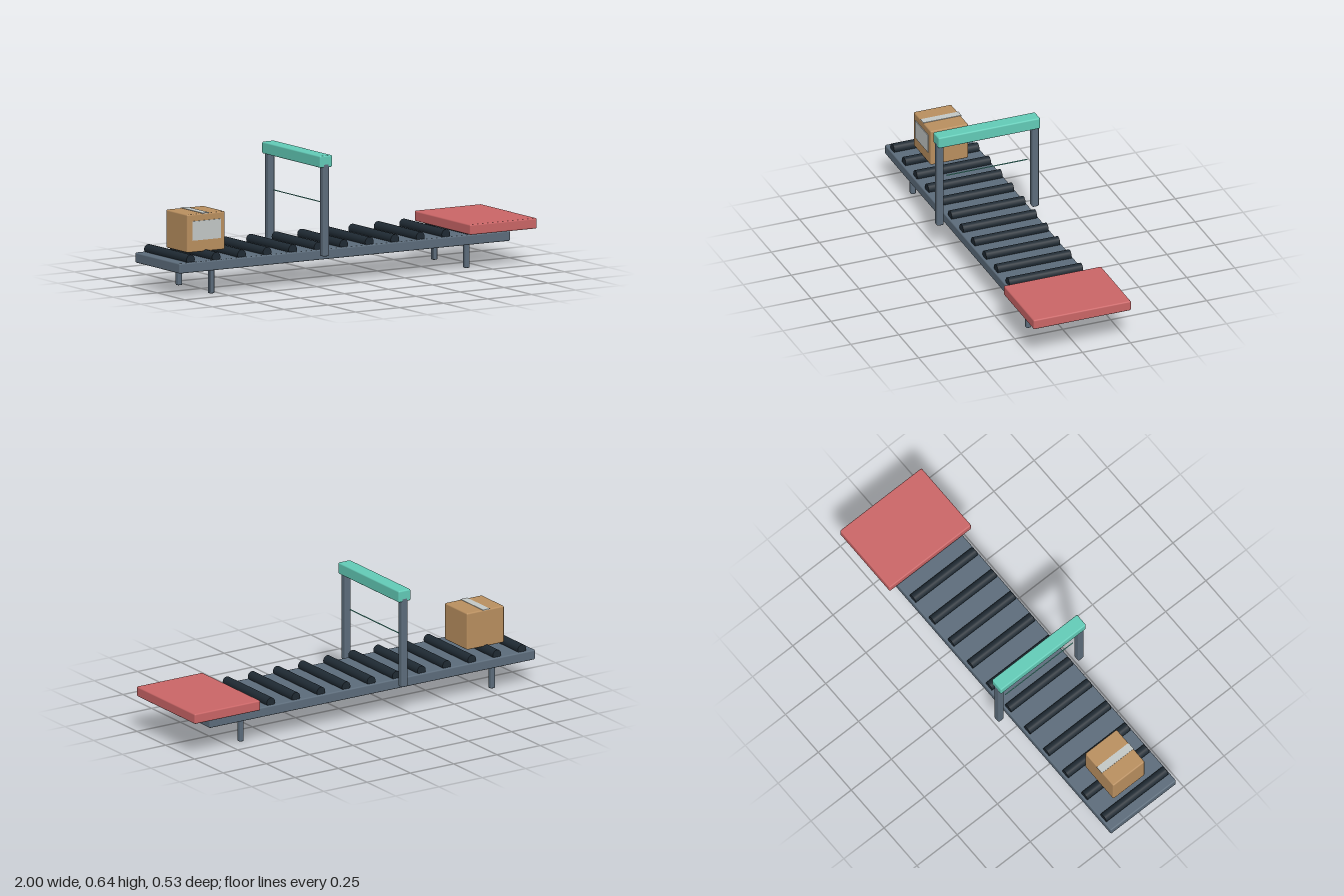
import * as THREE from 'three';
import { RoundedBoxGeometry } from 'three/addons/geometries/RoundedBoxGeometry.js';

const mat = (name, color) => {
  const m = new THREE.MeshStandardMaterial({ color });
  m.name = name;
  return m;
};

export function createModel() {
  const slate = mat('slate metal', 0x5c6c7b);
  const rubber = mat('dark rubber', 0x1f2a33);
  const teal = mat('teal', 0x62cbb7);
  const red = mat('red', 0xca6566);
  const card = mat('cardboard', 0xb98f5f);
  const paper = mat('pale paper', 0xc3c8c6);

  const model = new THREE.Group();
  model.name = 'conveyor';

  const add = (name, geometry, material, x, y, z) => {
    const mesh = new THREE.Mesh(geometry, material);
    mesh.name = name;
    mesh.position.set(x, y, z);
    model.add(mesh);
    return mesh;
  };
  // Box given by its limits on each axis, with rounded edges when r > 0
  const block = (name, material, [x0, x1], [y0, y1], [z0, z1], r = 0) => {
    const size = [x1 - x0, y1 - y0, z1 - z0];
    const geometry = r ? new RoundedBoxGeometry(...size, 2, r) : new THREE.BoxGeometry(...size);
    return add(name, geometry, material, (x0 + x1) / 2, (y0 + y1) / 2, (z0 + z1) / 2);
  };

  // Conveyor bed
  block('bed', slate, [-1, 0.88], [0.122, 0.172], [-0.203, 0.203], 0.007);

  // Rollers across the bed
  const rollerGeometry = new THREE.CylinderGeometry(0.024, 0.024, 0.384, 16).rotateX(Math.PI / 2);
  for (let i = 0; i < 13; i++) add('roller', rollerGeometry, rubber, -0.93 + i * 0.145, 0.184, 0);

  // Legs and scanner posts, mirrored front to back
  for (const s of [-1, 1]) {
    for (const x of [-0.785, 0.665])
      block('leg', slate, [x - 0.0125, x + 0.0125], [0.002, 0.135], [s * 0.146 - 0.0125, s * 0.146 + 0.0125], 0.005);
    block('scannerPost', slate, [-0.223, -0.187], [0.147, 0.6], [s * 0.248 - 0.0175, s * 0.248 + 0.0175], 0.007);
  }

  // Scanner beam and the thin scan line beneath it
  block('scannerBeam', teal, [-0.24, -0.17], [0.581, 0.639], [-0.265, 0.265], 0.007);
  block('scanLine', teal, [-0.207, -0.203], [0.405, 0.409], [-0.21, 0.21]);

  // Tray at the end
  block('tray', red, [0.62, 1], [0.179, 0.23], [-0.254, 0.254], 0.007);

  // Parcel with front label and top tape
  block('parcel', card, [-0.89, -0.675], [0.2, 0.386], [-0.098, 0.098], 0.007);
  block('label', paper, [-0.862, -0.702], [0.258, 0.352], [0.096, 0.102]);
  block('tape', paper, [-0.805, -0.766], [0.384, 0.388], [-0.1, 0.098]);

  return model;
}
